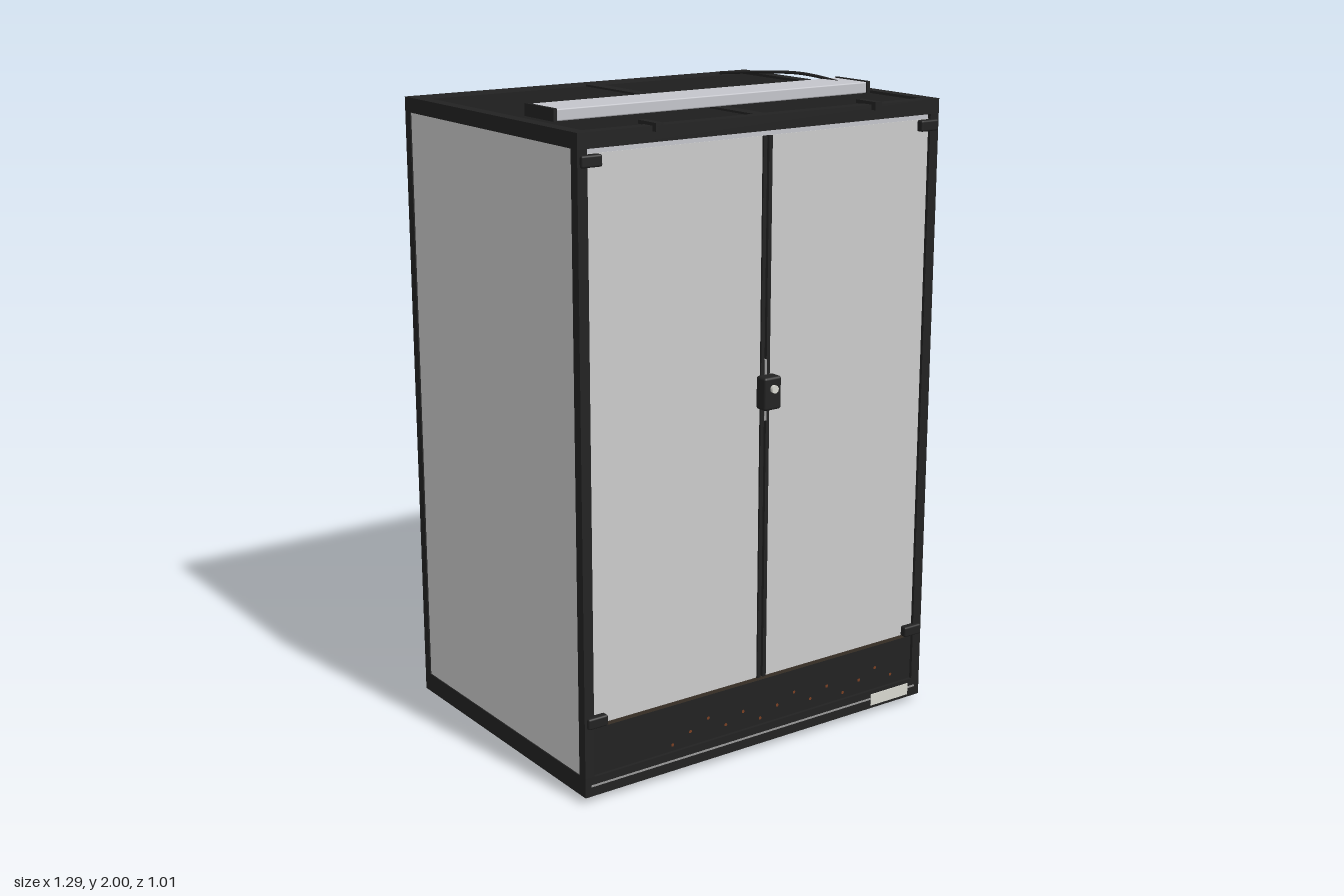
import * as THREE from 'three';
import { RoundedBoxGeometry } from 'three/addons/geometries/RoundedBoxGeometry.js';

const mat = (color) => new THREE.MeshStandardMaterial({ color });
const black = mat(0x222222), mesh = mat(0x1e1e1e), pane = mat(0xcccccc);
const silver = mat(0xc4c5cb), metal = mat(0x999999), white = mat(0xd8d8d0), bark = mat(0x7a3f22);

export function createModel() {
  const model = new THREE.Group();

  const add = (name, geometry, material) => {
    const m = new THREE.Mesh(geometry, material);
    m.name = name;
    model.add(m);
    return m;
  };
  // Box given by its minimum and maximum on each axis
  const box = (name, material, x0, x1, y0, y1, z0, z1, round = 0) => {
    const size = [x1 - x0, y1 - y0, z1 - z0];
    const g = round ? new RoundedBoxGeometry(...size, 2, round) : new THREE.BoxGeometry(...size);
    const m = add(name, g, material);
    m.position.set((x0 + x1) / 2, (y0 + y1) / 2, (z0 + z1) / 2);
    return m;
  };
  // The same box on the left and on the right
  const pair = (name, material, x0, x1, ...rest) => {
    box(name + 'Left', material, x0, x1, ...rest);
    box(name + 'Right', material, -x1, -x0, ...rest);
  };

  const W = 0.645, BACK = -0.505, FRONT = 0.46;

  // Base tray and feet
  box('baseTray', black, -W, W, 0.02, 0.08, BACK, FRONT);
  for (const z of [0.38, -0.42])
    pair('foot', black, 0.53, 0.59, 0, 0.02, z - 0.03, z + 0.03);

  // Corner posts
  pair('frontPost', black, W - 0.032, W, 0.08, 1.91, FRONT - 0.032, FRONT);
  pair('backPost', black, W - 0.032, W, 0.08, 1.91, BACK, BACK + 0.03);

  // Side and back panes
  pair('sidePane', pane, W - 0.014, W - 0.004, 0.08, 1.91, BACK + 0.03, FRONT - 0.032);
  box('backPane', pane, -W + 0.032, W - 0.032, 0.08, 1.91, BACK + 0.004, BACK + 0.014);

  // Top frame with a centre bar and a sunken ventilation mesh
  pair('topSideRail', black, 0.605, W, 1.91, 1.955, BACK, FRONT);
  box('topFrontRail', black, -0.605, 0.605, 1.91, 1.955, 0.42, FRONT);
  box('topBackRail', black, -0.605, 0.605, 1.91, 1.955, BACK, -0.465);
  box('topCentreBar', black, -0.02, 0.02, 1.915, 1.953, -0.465, 0.42);
  pair('ventMesh', mesh, 0.02, 0.605, 1.925, 1.947, -0.465, 0.42);

  // Front sill below the doors, with bark showing through
  box('frontSill', black, -W + 0.032, W - 0.032, 0.08, 0.235, 0.43, 0.45);
  box('sillLip', mat(0x3a3128), -W + 0.032, W - 0.032, 0.228, 0.238, 0.43, 0.453);
  for (let i = 0; i < 14; i++) {
    const x = -0.33 + i * 0.066, y = 0.1 + ((i * 7) % 5) * 0.013;
    const chip = add('barkChip', new THREE.CircleGeometry(0.006, 5), bark);
    chip.position.set(x, y, 0.4515);
  }

  // Doors with their meeting edges and the light strip above
  pair('doorPane', pane, 0.012, W - 0.03, 0.238, 1.895, 0.44, 0.45);
  pair('doorEdge', black, 0.004, 0.016, 0.238, 1.895, 0.436, 0.456);
  box('doorGap', mesh, -0.004, 0.004, 0.238, 1.895, 0.436, 0.446);
  box('upperDoorTrack', silver, -W + 0.032, W - 0.032, 1.895, 1.91, 0.43, 0.448);

  // Corner hinges
  for (const y of [0.235, 1.86])
    pair('doorHinge', black, 0.57, 0.637, y, y + 0.034, 0.44, 0.471, 0.006);

  // Lock with a small key barrel and latch bar
  box('lock', black, -0.031, 0.031, 1.095, 1.195, 0.45, 0.495, 0.008);
  box('lockBar', metal, -0.004, 0.004, 1.055, 1.24, 0.446, 0.458);
  const barrel = add('lockBarrel', new THREE.CylinderGeometry(0.012, 0.012, 0.02, 20), white);
  barrel.rotation.x = Math.PI / 2;
  barrel.position.set(0, 1.16, 0.495);

  // Base trim line and plain plate
  box('baseTrim', metal, -0.625, 0.625, 0.05, 0.056, 0.458, 0.4615);
  box('basePlate', white, 0.44, 0.595, 0.03, 0.068, 0.458, 0.463);

  // Lid clips over the front edge
  pair('lidClip', black, 0.378, 0.402, 1.953, 1.964, 0.39, 0.478);
  pair('lidClipTab', black, 0.378, 0.402, 1.94, 1.964, 0.46, 0.478);

  // Lamp with dark end caps and its cable
  box('lamp', silver, -0.56, 0.56, 1.953, 1.987, 0.075, 0.225, 0.004);
  pair('lampCap', black, 0.56, 0.572, 1.953, 1.989, 0.073, 0.227);
  const path = new THREE.CatmullRomCurve3([
    new THREE.Vector3(0.515, 1.982, 0.148),
    new THREE.Vector3(0.505, 1.992, 0.05),
    new THREE.Vector3(0.495, 1.995, -0.04),
    new THREE.Vector3(0.475, 1.985, -0.2),
    new THREE.Vector3(0.452, 1.967, -0.385),
  ]);
  add('lampCable', new THREE.TubeGeometry(path, 32, 0.005, 8), black);

  return model;
}
